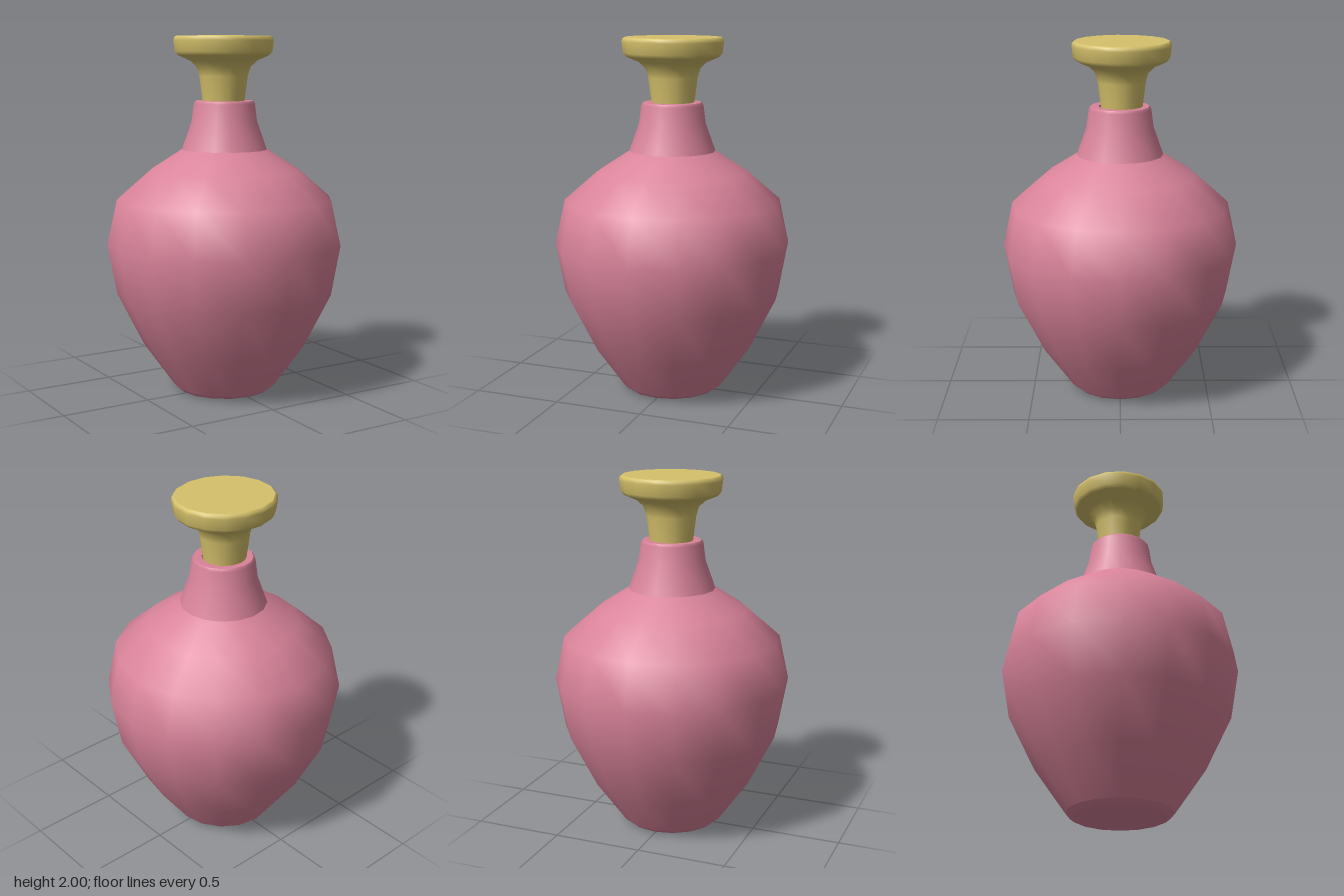
import * as THREE from 'three';

const SIDES = 16;

const material = (name, color) => {
  const m = new THREE.MeshStandardMaterial({ color });
  m.name = name;
  return m;
};

// Each run of [radius, height] points is smooth; the joins between runs stay crisp.
function turned(name, runs, mat) {
  const group = new THREE.Group();
  group.name = name;
  for (const [part, points] of Object.entries(runs)) {
    const profile = points.map(([r, y]) => new THREE.Vector2(r, y));
    const mesh = new THREE.Mesh(new THREE.LatheGeometry(profile, SIDES), mat);
    mesh.name = part;
    group.add(mesh);
  }
  return group;
}

export function createModel() {
  const pink = material('pink glaze', 0xd9839a);
  const gold = material('pale gold', 0xd5c16b);
  const model = new THREE.Group();
  model.name = 'bottle';

  // Bulbous body, shoulder and neck
  model.add(turned('body', {
    base: [[0, 0.003], [0.24, 0.003]],
    foot: [[0.24, 0.003], [0.265, 0.01], [0.29, 0.03]],
    belly: [[0.29, 0.03], [0.46, 0.27], [0.61, 0.57], [0.66, 0.85], [0.605, 1.1], [0.42, 1.26], [0.24, 1.375]],
    neck: [[0.24, 1.375], [0.185, 1.53], [0.172, 1.63], [0.162, 1.645]],
    rim: [[0.162, 1.645], [0.118, 1.645]],
    mouth: [[0.118, 1.645], [0.112, 1.55]],
  }, pink));

  // Flared stopper, slightly oval and turned
  const stopper = turned('stopper', {
    plug: [[0, 1.55], [0.11, 1.55]],
    stem: [[0.11, 1.55], [0.12, 1.64], [0.138, 1.78], [0.153, 1.83], [0.19, 1.865], [0.26, 1.895],
      [0.277, 1.915], [0.284, 1.975], [0.281, 1.992], [0.27, 2]],
    top: [[0.27, 2], [0, 2]],
  }, gold);
  stopper.rotation.y = 0.09;
  stopper.scale.z = 0.96;
  stopper.position.z = -0.01;
  model.add(stopper);

  return model;
}
